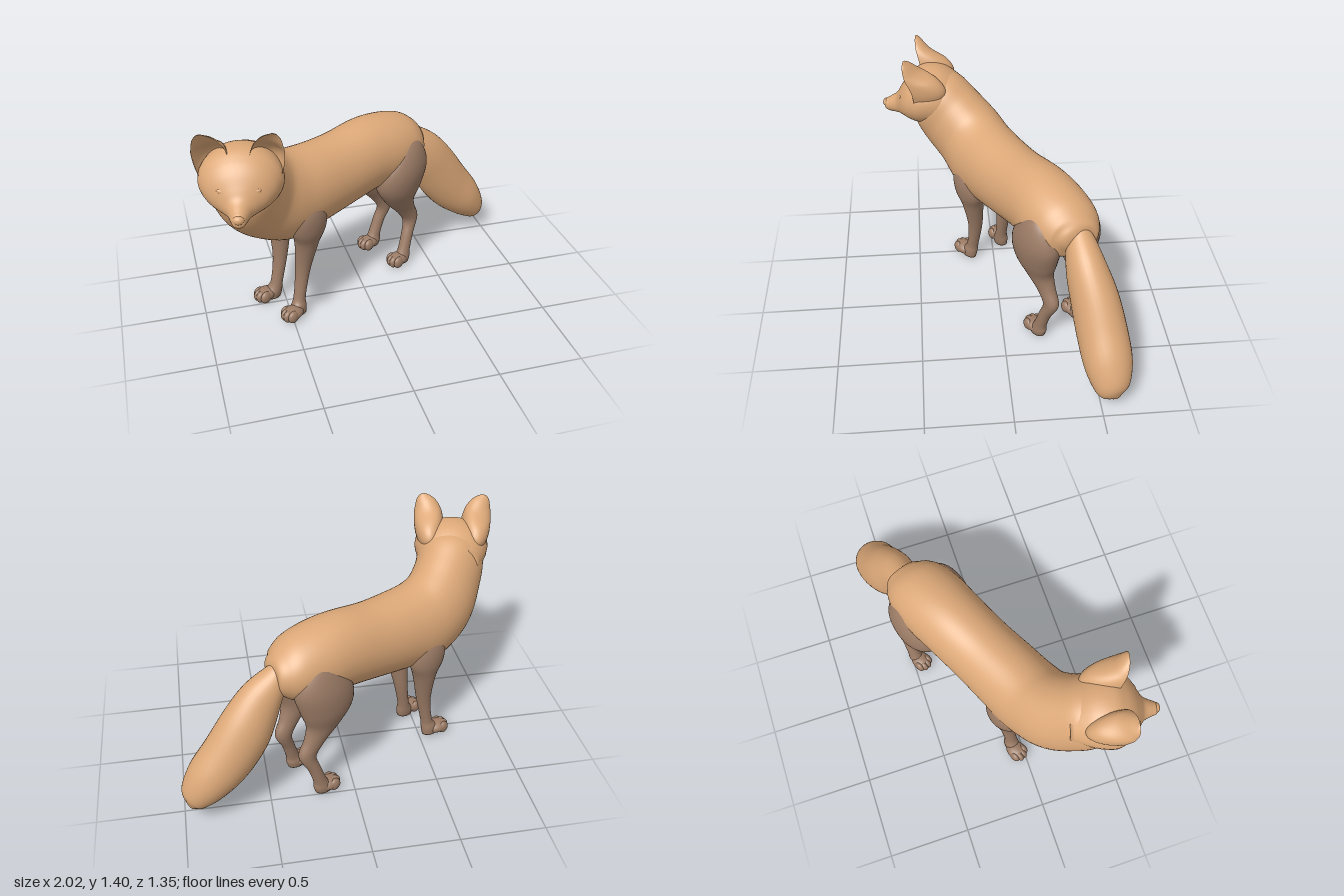
import * as THREE from 'three';

const tan = new THREE.MeshStandardMaterial({ color: 0xdca878 });
const brown = new THREE.MeshStandardMaterial({ color: 0x9c7c66 });

// Smooth skin through oval rings, each [top xyz, bottom xyz, half width].
// A dent above 0 folds the top half of every ring inwards, making a cup.
function loft(rings, { sides = 36, steps = 6, dent = 0 } = {}) {
  const curve = pick => new THREE.CatmullRomCurve3(rings.map(pick), false, 'catmullrom', 0.5);
  const top = curve(r => new THREE.Vector3(r[0], r[1], r[2]));
  const bottom = curve(r => new THREE.Vector3(r[3], r[4], r[5]));
  const width = curve(r => new THREE.Vector3(r[6], 0, 0));
  const count = (rings.length - 1) * steps;
  const centre = t => top.getPoint(t).add(bottom.getPoint(t)).multiplyScalar(0.5);
  const pos = [], index = [];
  for (let i = 0; i <= count; i++) {
    const t = i / count, c = centre(t);
    const up = top.getPoint(t).sub(bottom.getPoint(t)).multiplyScalar(0.5);
    const along = centre(Math.min(1, t + 0.01)).sub(centre(Math.max(0, t - 0.01)));
    const side = up.clone().cross(along).normalize().multiplyScalar(Math.max(0.002, width.getPoint(t).x));
    for (let j = 0; j < sides; j++) {
      const a = j / sides * Math.PI * 2;
      let s = Math.sin(a);
      if (dent && s > 0) s *= -dent;
      const p = c.clone().addScaledVector(side, Math.cos(a)).addScaledVector(up, s);
      pos.push(p.x, p.y, p.z);
      if (i < count) {
        const k = (j + 1) % sides, q = i * sides;
        index.push(q + j, q + k, q + sides + j, q + k, q + sides + k, q + sides + j);
      }
    }
  }
  // end caps
  const first = pos.length / 3, last = count * sides;
  pos.push(...centre(0).toArray(), ...centre(1).toArray());
  for (let j = 0; j < sides; j++) {
    const k = (j + 1) % sides;
    index.push(first, k, j, first + 1, last + j, last + k);
  }
  const g = new THREE.BufferGeometry();
  g.setAttribute('position', new THREE.Float32BufferAttribute(pos, 3));
  g.setIndex(index);
  g.computeVertexNormals();
  return g;
}

function add(parent, name, geometry, material) {
  const m = new THREE.Mesh(geometry, material);
  m.name = name;
  parent.add(m);
  return m;
}

function ellipsoid(parent, name, material, [x, y, z], [a, b, c]) {
  const m = add(parent, name, new THREE.SphereGeometry(1, 24, 16), material);
  m.position.set(x, y, z);
  m.scale.set(a, b, c);
  return m;
}

// Rows seen from the side: [front z, front y, back z, back y, x, half width].
// Sway shifts the upper part towards the left.
const sideRings = (rows, s, sway = 0) => rows.map(([zf, yf, zb, yb, x, w]) => {
  const px = s * x + sway * Math.max(0, yb - .4);
  return [px, yf, zf, px, yb, zb, w];
});

const frontLegRows = [
  [.45, .8, .36, .8, .13, .04], [.53, .71, .3, .71, .145, .075],
  [.53, .61, .29, .61, .145, .08], [.485, .5, .33, .5, .13, .066],
  [.47, .3, .38, .3, .11, .047], [.495, .12, .422, .12, .112, .038],
  [.53, .06, .425, .055, .12, .044], [.54, .012, .43, .012, .125, .04],
];
const hindLegRows = [
  [-.34, .93, -.44, .92, .1, .04], [-.26, .86, -.5, .85, .125, .09],
  [-.17, .73, -.535, .74, .137, .115], [-.165, .61, -.5, .6, .137, .105],
  [-.255, .48, -.467, .5, .13, .072], [-.355, .38, -.485, .41, .125, .05],
  [-.415, .29, -.525, .31, .122, .042], [-.395, .2, -.47, .19, .135, .038],
  [-.36, .1, -.44, .09, .142, .038], [-.33, .05, -.44, .05, .142, .044],
  [-.32, .012, -.43, .012, .142, .04],
];

function paw(parent, name, x, z) {
  const g = new THREE.Group();
  g.name = name;
  g.position.set(x, 0, z);
  parent.add(g);
  ellipsoid(g, 'pawPad', brown, [0, .043, 0], [.056, .04, .072]);
  for (const [tx, tz] of [[-.036, .022], [-.013, .038], [.013, .038], [.036, .022]])
    ellipsoid(g, 'toe', brown, [tx, .04, tz], [.023, .039, .037]);
}

function makeHead() {
  const head = new THREE.Group();
  head.name = 'head';
  // skull tapering to the muzzle: [z, top, bottom, half width]
  const skull = [
    [-.2, 1.2, .97, .15], [-.08, 1.275, .93, .205], [.03, 1.285, .925, .225],
    [.1, 1.25, .935, .2], [.15, 1.2, .948, .157], [.19, 1.135, .953, .1],
    [.22, 1.085, .953, .066], [.265, 1.053, .955, .045], [.293, 1.035, .965, .034],
    [.305, 1.01, .98, .012],
  ].map(([z, t, b, w]) => [0, t, z, 0, b, z, w]);
  add(head, 'skull', loft(skull), tan);
  ellipsoid(head, 'nose', tan, [0, 1.012, .293], [.03, .024, .022]);
  // ears: [front rim z, depth, y, x, half width], cupped to the front
  const earRows = [[.06, .17, 1.12, .135, .07], [.062, .19, 1.2, .14, .088],
    [.08, .16, 1.27, .148, .088], [.103, .08, 1.325, .162, .075],
    [.117, .035, 1.375, .18, .045], [.12, .008, 1.4, .187, .014]]
    .map(([z, h, y, x, w]) => [z + h, y, z - h, y, x, w]);
  for (const s of [1, -1]) {
    const side = s > 0 ? 'left' : 'right';
    add(head, side + 'Ear', loft(sideRings(earRows, s), { dent: .6 }), tan);
    ellipsoid(head, side + 'Eye', tan, [s * .087, 1.108, .166], [.028, .015, .016]).rotation.z = s * .25;
  }
  head.position.set(-.765, 0, .37);
  head.rotation.y = -.23;
  return head;
}

export function createModel() {
  const model = new THREE.Group();
  model.name = 'fox';

  // trunk from rump to nape, the neck turning towards the front
  add(model, 'body', loft([
    [.465, .87, -.4, .465, .83, -.4, .02],
    [.45, .92, -.395, .45, .76, -.395, .1],
    [.41, .965, -.385, .41, .69, -.385, .155],
    [.33, 1.02, -.355, .33, .64, -.355, .195],
    [.2, 1.055, -.293, .2, .61, -.293, .213],
    [.05, 1.065, -.222, .05, .6, -.222, .208],
    [-.15, 1.04, -.118, -.15, .565, -.118, .205],
    [-.32, 1.04, -.03, -.34, .535, -.02, .212],
    [-.45, 1.055, .035, -.53, .515, .075, .217],
    [-.53, 1.095, .085, -.72, .62, .185, .212],
    [-.61, 1.165, .15, -.81, .77, .335, .203],
    [-.68, 1.235, .23, -.82, .9, .42, .2],
    [-.74, 1.255, .32, -.8, .97, .44, .15],
  ], { sides: 48 }), tan);

  // bushy tail
  add(model, 'tail', loft([
    [.38, .94, -.4, .35, .8, -.4, .04],
    [.47, .885, -.42, .4, .7, -.41, .085],
    [.6, .8, -.45, .45, .55, -.43, .115],
    [.72, .67, -.49, .52, .4, -.47, .135],
    [.84, .5, -.53, .64, .25, -.5, .142],
    [.94, .36, -.55, .77, .15, -.525, .135],
    [1, .22, -.555, .88, .09, -.545, .095],
    [.985, .13, -.56, .93, .078, -.555, .04],
    [.96, .09, -.557, .945, .08, -.557, .008],
  ]), tan);

  model.add(makeHead());

  // legs, laid out along the trunk's own axis
  const legs = new THREE.Group();
  legs.name = 'legs';
  legs.position.set(-.085, 0, -.17);
  legs.rotation.y = -1.1;
  model.add(legs);
  for (const s of [1, -1]) {
    const side = s > 0 ? 'left' : 'right';
    add(legs, side + 'FrontLeg', loft(sideRings(frontLegRows, s, .06)), brown);
    add(legs, side + 'HindLeg', loft(sideRings(hindLegRows, s, .06)), brown);
    paw(legs, side + 'FrontPaw', s * .135, .535);
    paw(legs, side + 'HindPaw', s * .142, -.34);
  }
  return model;
}
